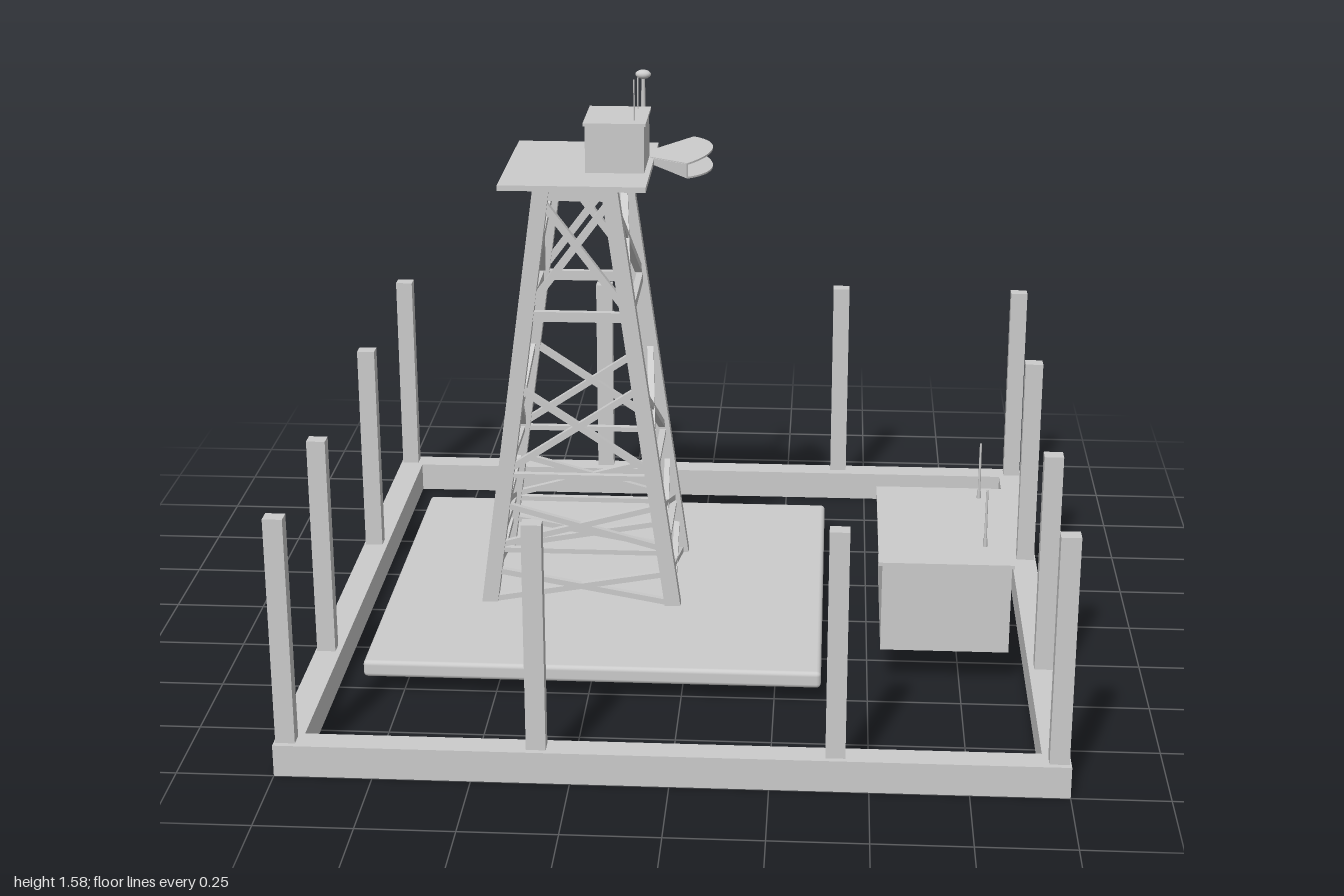
import * as THREE from 'three';
import { RoundedBoxGeometry } from 'three/addons/geometries/RoundedBoxGeometry.js';

const grey = new THREE.MeshStandardMaterial({ color: 0xcccccc });
const V = (x, y, z) => new THREE.Vector3(x, y, z);

function add(parent, name, geometry, x = 0, y = 0, z = 0) {
  const mesh = new THREE.Mesh(geometry, grey);
  mesh.name = name;
  mesh.position.set(x, y, z);
  parent.add(mesh);
  return mesh;
}

// Box given by its limits on each axis
function block(parent, name, x0, x1, y0, y1, z0, z1) {
  return add(parent, name, new THREE.BoxGeometry(x1 - x0, y1 - y0, z1 - z0),
    (x0 + x1) / 2, (y0 + y1) / 2, (z0 + z1) / 2);
}

// Upright round rod
function rod(parent, name, x, y0, y1, z, r0, r1 = r0, sides = 8) {
  return add(parent, name, new THREE.CylinderGeometry(r1, r0, y1 - y0, sides), x, (y0 + y1) / 2, z);
}

// Square beam from a to b; w is its size along `side`, d its other size
function beam(parent, name, a, b, w, d, side) {
  const along = b.clone().sub(a);
  const length = along.length();
  along.normalize();
  const third = along.clone().cross(side).normalize();
  const across = third.clone().cross(along);
  const mesh = add(parent, name, new THREE.BoxGeometry(w, length, d));
  mesh.quaternion.setFromRotationMatrix(new THREE.Matrix4().makeBasis(across, along, third.negate().negate().multiplyScalar(-1)
    .copy(across.clone().cross(along))));
  mesh.position.copy(a).add(b).multiplyScalar(0.5);
  return mesh;
}

function makeBase() {
  const base = new THREE.Group();
  base.name = 'base';

  // Square kerb with an open middle
  const outline = (r) => [[-r, -r], [r, -r], [r, r], [-r, r]].map(([x, y]) => new THREE.Vector2(x, y));
  const shape = new THREE.Shape(outline(1));
  shape.holes.push(new THREE.Path(outline(0.93)));
  const kerb = new THREE.ExtrudeGeometry(shape, { depth: 0.085, bevelEnabled: false });
  add(base, 'kerb', kerb.rotateX(-Math.PI / 2));

  // Fence posts around the kerb
  const posts = [];
  for (const x of [-0.97, 0.97]) for (const z of [-0.965, -0.295, 0.435, 0.965]) posts.push([x, z]);
  for (const x of [-0.335, 0.415]) posts.push([x, -0.98], [x, 0.965]);
  for (const [x, z] of posts) block(base, 'fencePost', x - 0.025, x + 0.025, 0.08, 0.695, z - 0.02, z + 0.02);

  // Slab under the tower
  add(base, 'slab', new RoundedBoxGeometry(1.23, 0.047, 1.175, 2, 0.012), -0.24, 0.073, -0.0525);
  return base;
}

function makeTower() {
  const tower = new THREE.Group();
  tower.name = 'tower';
  const cx = -0.306, zs = [-0.265, 0.117];
  const legX = (y, s) => cx + s * (0.259 - (y - 0.095) * 0.138);
  const at = (y, s, z) => V(legX(y, s), y, z);
  const X = V(1, 0, 0), Z = V(0, 0, 1);

  for (const s of [-1, 1]) for (const z of zs)
    beam(tower, 'leg', at(0.09, s, z), at(1.312, s, z), 0.044, 0.034, X);

  // Level rails: height, thickness
  for (const [y, t] of [[1.287, 0.03], [0.945, 0.028], [0.477, 0.014], [0.253, 0.014]]) {
    for (const z of zs) beam(tower, 'rail', at(y, -1, z), at(y, 1, z), t, 0.018, Z.clone().cross(X));
    for (const s of [-1, 1]) beam(tower, 'rail', at(y, s, zs[0]), at(y, s, zs[1]), t, 0.018, V(0, 1, 0));
  }

  // Crossed braces: bottom, top, thickness
  for (const [y0, y1, t] of [[0.96, 1.275, 0.02], [0.49, 0.74, 0.018], [0.265, 0.39, 0.016], [0.1, 0.19, 0.016]]) {
    for (const s of [-1, 1]) {
      for (const z of zs) beam(tower, 'brace', at(y0, s, z), at(y1, -s, z), t, t, Z);
      const [za, zb] = s > 0 ? zs : [zs[1], zs[0]];
      for (const side of [-1, 1]) beam(tower, 'brace', at(y0, side, za), at(y1, side, zb), t, t, X);
    }
  }

  // Platform and the equipment on it
  block(tower, 'platform', -0.51, -0.113, 1.31, 1.325, -0.315, 0.17);
  block(tower, 'equipmentBox', -0.288, -0.128, 1.325, 1.457, -0.165, 0.028);
  block(tower, 'equipmentLid', -0.293, -0.123, 1.455, 1.463, -0.172, 0.032);
  rod(tower, 'whip', -0.157, 1.46, 1.575, -0.012, 0.002);
  rod(tower, 'whip', -0.157, 1.46, 1.55, -0.142, 0.002);
  rod(tower, 'mast', -0.152, 1.325, 1.4, -0.268, 0.012, 0.007);
  rod(tower, 'mast', -0.152, 1.4, 1.53, -0.268, 0.007, 0.005);
  const dome = add(tower, 'mastDome', new THREE.SphereGeometry(1, 16, 10), -0.152, 1.532, -0.268);
  dome.scale.set(0.022, 0.013, 0.016);
  return tower;
}

// Flared horn opening toward +x: two tilted fan plates and two side walls
function makeHorn() {
  const horn = new THREE.Group();
  horn.name = 'horn';
  horn.position.set(-0.165, 1.317, -0.188);
  const half = (x) => 0.003 + 0.108 * x, a = Math.PI / 4;
  const r0 = 0.04, r1 = 0.212, t = 0.005;
  const fan = new THREE.Shape();
  fan.absarc(0, 0, r1, -a, a, false);
  fan.lineTo(r0 * Math.cos(a), r0 * Math.sin(a));
  fan.lineTo(r0 * Math.cos(a), -r0 * Math.sin(a));
  for (const s of [-1, 1]) {
    const plate = new THREE.ExtrudeGeometry(fan, { depth: t, bevelEnabled: false, curveSegments: 16 });
    plate.rotateX(-Math.PI / 2).translate(0, -t / 2, 0);
    const p = plate.attributes.position;
    for (let i = 0; i < p.count; i++) p.setY(i, p.getY(i) + s * half(p.getX(i)));
    plate.computeVertexNormals();
    add(horn, 'hornPlate', plate);

    const h0 = half(r0 * Math.cos(a)), h1 = half(r1 * Math.cos(a));
    const wall = new THREE.Shape([[r0, -h0], [r1, -h1], [r1, h1], [r0, h0]].map(([x, y]) => new THREE.Vector2(x, y)));
    const side = new THREE.ExtrudeGeometry(wall, { depth: t, bevelEnabled: false });
    add(horn, 'hornWall', side.translate(0, 0, -t / 2).rotateY(s * a));
  }
  return horn;
}

function makeCabinet() {
  const cabinet = new THREE.Group();
  cabinet.name = 'cabinet';
  block(cabinet, 'cabinetBody', 0.533, 0.878, 0.107, 0.357, -0.125, 0.402);
  block(cabinet, 'cabinetLid', 0.523, 0.885, 0.355, 0.365, -0.135, 0.408);
  for (const z of [-0.063, 0.282]) {
    rod(cabinet, 'aerialFoot', 0.812, 0.365, 0.39, z, 0.006);
    rod(cabinet, 'aerial', 0.812, 0.365, 0.53, z, 0.004, 0.003);
  }
  return cabinet;
}

export function createModel() {
  const model = new THREE.Group();
  model.name = 'watchtowerSite';
  model.add(makeBase(), makeTower(), makeHorn(), makeCabinet());
  return model;
}
